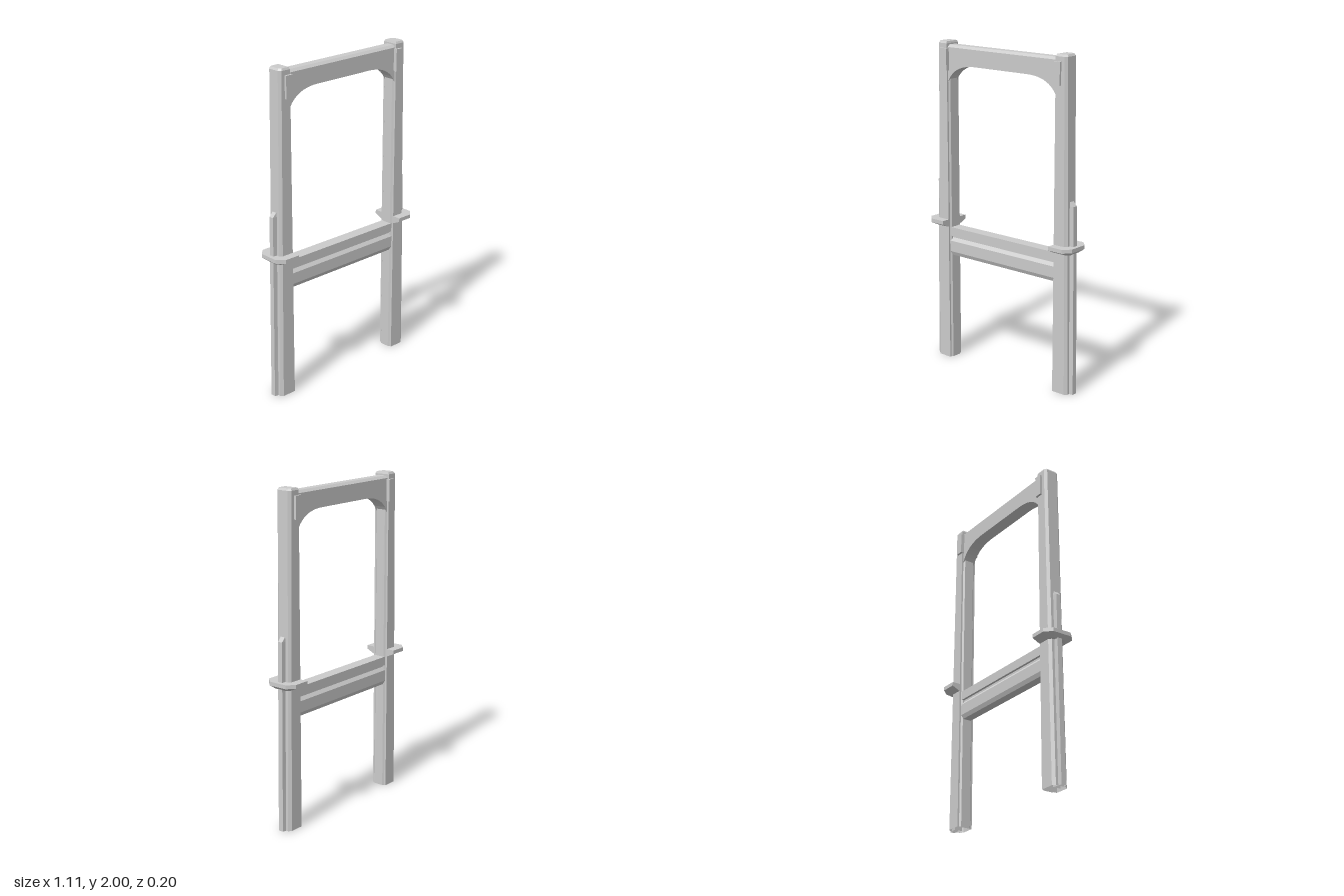
import * as THREE from 'three';

const grey = new THREE.MeshStandardMaterial({ color: 0xcccccc, flatShading: true });
const greyOpen = new THREE.MeshStandardMaterial({ color: 0xcccccc, flatShading: true, side: THREE.DoubleSide });

// Stacks convex rings of [x, z] points; each section is { y, ring }
function loft(sections, capBottom = true) {
  const pos = [];
  const tri = (...pts) => pts.forEach((p) => pos.push(...p));
  const rings = sections.map(({ y, ring }) => ring.map(([x, z]) => [x, y, z]));
  for (let s = 0; s < rings.length - 1; s++) {
    const lo = rings[s], hi = rings[s + 1];
    lo.forEach((a, i) => {
      const j = (i + 1) % lo.length;
      tri(a, lo[j], hi[j]);
      tri(a, hi[j], hi[i]);
    });
  }
  const top = rings[rings.length - 1], bottom = rings[0];
  for (let i = 1; i < top.length - 1; i++) {
    tri(top[0], top[i], top[i + 1]);
    if (capBottom) tri(bottom[0], bottom[i + 1], bottom[i]);
  }
  const g = new THREE.BufferGeometry();
  g.setAttribute('position', new THREE.Float32BufferAttribute(pos, 3));
  g.computeVertexNormals();
  return g;
}

// Rectangle from x0 to x1 with chamfered outer corners
const chamfered = (x0, x1, hz, cx, cz) => [
  [x0, hz], [x1 - cx, hz], [x1, hz - cz], [x1, cz - hz], [x1 - cx, -hz], [x0, -hz],
];
// Trapezoid from half depth h0 at x0 to half depth h1 at x1
const trapezoid = (x0, x1, h0, h1) => [[x0, h0], [x1, h1], [x1, -h1], [x0, -h0]];

function part(name, geometry, material = grey) {
  const mesh = new THREE.Mesh(geometry, material);
  mesh.name = name;
  return mesh;
}

function createSide(name) {
  const side = new THREE.Group();
  side.name = name;

  // Tapered post with a bevelled top and an open foot
  side.add(part('post', loft([
    { y: 0, ring: chamfered(0.413, 0.517, 0.05, 0.016, 0.015) },
    { y: 1.988, ring: chamfered(0.413, 0.488, 0.05, 0.014, 0.015) },
    { y: 2, ring: chamfered(0.417, 0.48, 0.043, 0.012, 0.013) },
  ], false), greyOpen));

  // Raised strip along the inner face
  const strip = trapezoid(0.404, 0.414, 0.03, 0.04);
  side.add(part('innerStrip', loft([{ y: 0, ring: strip }, { y: 1.86, ring: strip }], false), greyOpen));

  // Outer rib with a sloping top
  side.add(part('outerRib', loft([
    { y: 0, ring: trapezoid(0.48, 0.541, 0.025, 0.016) },
    { y: 1.14, ring: trapezoid(0.47, 0.527, 0.02, 0.015) },
    { y: 1.165, ring: trapezoid(0.47, 0.503, 0.018, 0.015) },
  ], false), greyOpen));

  // Collar plate with a tapering underside
  const plate = chamfered(0.413, 0.553, 0.102, 0.042, 0.042);
  side.add(part('collar', loft([
    { y: 0.86, ring: chamfered(0.413, 0.525, 0.056, 0.02, 0.02) },
    { y: 0.882, ring: plate },
    { y: 0.905, ring: plate },
  ])));

  // Bracket plates where the top beam meets the post
  for (const sign of [1, -1]) {
    const bracket = part(sign > 0 ? 'frontBracket' : 'backBracket', new THREE.BoxGeometry(0.048, 0.132, 0.026));
    bracket.position.set(0.429, 1.894, sign * 0.05);
    side.add(bracket);
  }
  return side;
}

function createTopBeam() {
  const beam = new THREE.Group();
  beam.name = 'topBeam';
  // Arched underside
  const shape = new THREE.Shape();
  shape.moveTo(-0.415, 1.966);
  shape.lineTo(-0.415, 1.755);
  shape.quadraticCurveTo(-0.365, 1.865, -0.2, 1.865);
  shape.lineTo(0.2, 1.865);
  shape.quadraticCurveTo(0.365, 1.865, 0.415, 1.755);
  shape.lineTo(0.415, 1.966);
  const body = new THREE.ExtrudeGeometry(shape, { depth: 0.08, bevelEnabled: false, curveSegments: 10 });
  body.translate(0, 0, -0.04);
  beam.add(part('archedBeam', body));
  // Chamfered upper edge
  beam.add(part('beamCrown', loft([
    { y: 1.966, ring: trapezoid(-0.415, 0.415, 0.04, 0.04) },
    { y: 1.98, ring: trapezoid(-0.415, 0.415, 0.024, 0.024) },
  ], false)));
  return beam;
}

function createLowerRail() {
  // Half profile [z, y] with a groove under the upper band
  const half = [[0.027, 0.676], [0.038, 0.7], [0.038, 0.768], [0.022, 0.788], [0.022, 0.8], [0.037, 0.8], [0.037, 0.855]];
  const outline = [...half, ...half.slice().reverse().map(([z, y]) => [-z, y])];
  const shape = new THREE.Shape(outline.map(([z, y]) => new THREE.Vector2(z, y)));
  const g = new THREE.ExtrudeGeometry(shape, { depth: 0.826, bevelEnabled: false });
  g.translate(0, 0, -0.413);
  g.rotateY(Math.PI / 2);
  return part('lowerRail', g);
}

export function createModel() {
  const model = new THREE.Group();
  model.name = 'frame';
  const left = createSide('leftSide');
  const right = createSide('rightSide');
  right.rotation.y = Math.PI;
  model.add(left, right, createTopBeam(), createLowerRail());
  return model;
}
